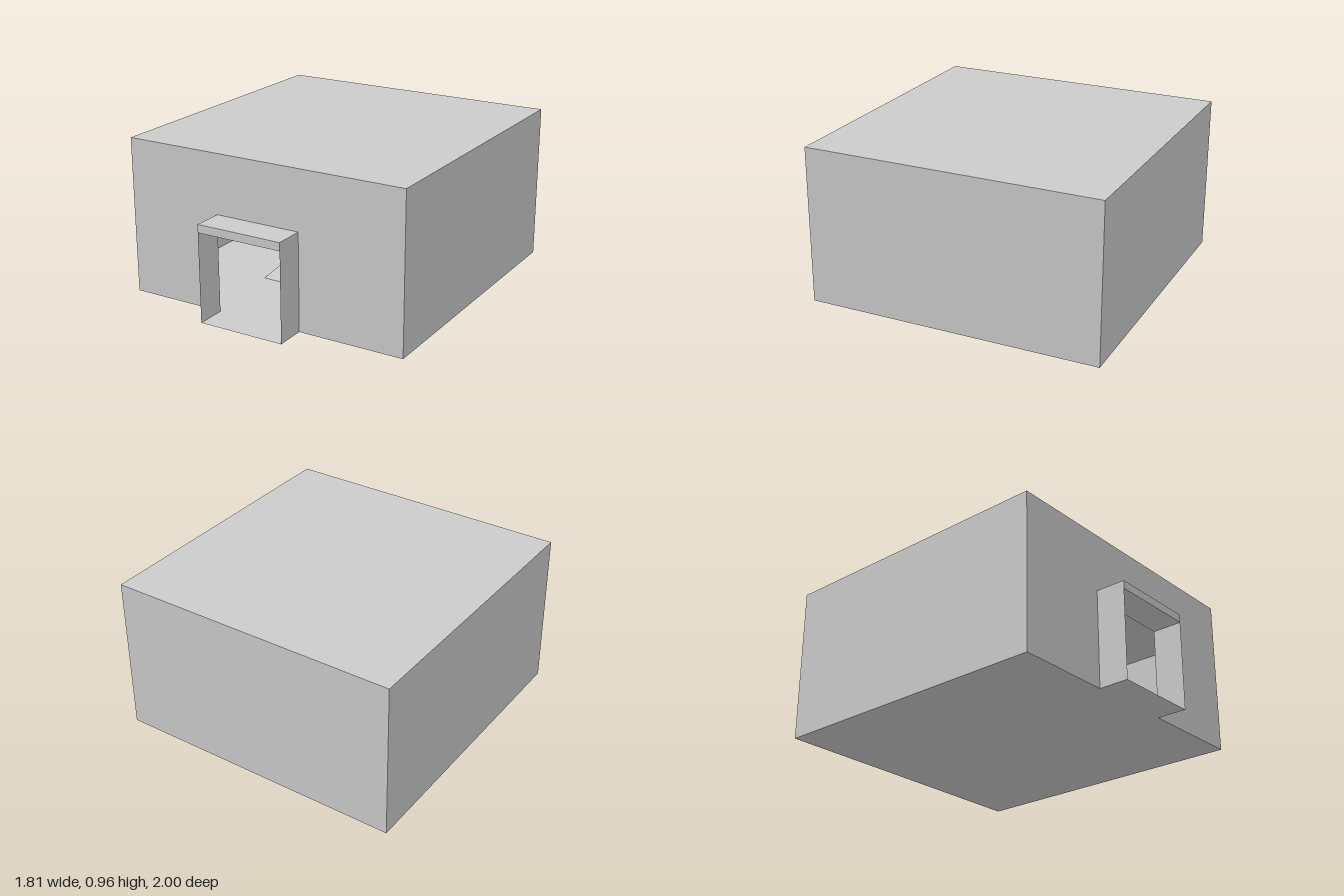
import * as THREE from 'three';

const W = 0.905;               // half width of the building
const BACK = -1, FRONT = 0.815, PORCH = 1;
const WALL = 0.775, TOP = 0.965; // wall height, roof top
const DL = -0.3, DR = 0.245, DH = 0.55, PH = 0.6; // doorway and porch

export function createModel() {
  const model = new THREE.Group();
  const mat = new THREE.MeshStandardMaterial({ color: 0xcccccc, flatShading: true, side: THREE.DoubleSide });
  const midZ = (BACK + FRONT) / 2, depth = FRONT - BACK;

  const add = (name, geometry, x, y, z) => {
    const mesh = new THREE.Mesh(geometry, mat);
    mesh.name = name;
    mesh.position.set(x, y, z);
    model.add(mesh);
    return mesh;
  };
  // Thin upright side wall, normal along x (dir = +1 or -1)
  const sideWall = (name, x, dir, h, z0, z1) => {
    add(name, new THREE.PlaneGeometry(z1 - z0, h), x, h / 2, (z0 + z1) / 2).rotation.y = dir * Math.PI / 2;
  };
  // Thin floor sheet
  const floor = (name, x0, x1, z0, z1) => {
    add(name, new THREE.PlaneGeometry(x1 - x0, z1 - z0), (x0 + x1) / 2, 0, (z0 + z1) / 2).rotation.x = -Math.PI / 2;
  };

  // Hollow room: front wall cut around the doorway
  const front = new THREE.Shape([
    [-W, 0], [DL, 0], [DL, DH], [DR, DH], [DR, 0], [W, 0], [W, WALL], [-W, WALL],
  ].map(([x, y]) => new THREE.Vector2(x, y)));
  add('frontWall', new THREE.ShapeGeometry(front), 0, 0, FRONT);
  add('backWall', new THREE.PlaneGeometry(2 * W, WALL), 0, WALL / 2, BACK).rotation.y = Math.PI;
  sideWall('leftWall', W, 1, WALL, BACK, FRONT);
  sideWall('rightWall', -W, -1, WALL, BACK, FRONT);
  floor('floor', -W, W, BACK, FRONT);

  // Thick flat roof, flush with the walls
  add('roof', new THREE.BoxGeometry(2 * W, TOP - WALL, depth), 0, (TOP + WALL) / 2, midZ);

  // Entrance porch
  sideWall('porchLeftWall', DR, 1, DH, FRONT, PORCH);
  sideWall('porchRightWall', DL, -1, DH, FRONT, PORCH);
  floor('porchFloor', DL, DR, FRONT, PORCH);
  add('porchRoof', new THREE.BoxGeometry(DR - DL, PH - DH, PORCH - FRONT),
    (DL + DR) / 2, (PH + DH) / 2, (FRONT + PORCH) / 2);

  // Square plinth with sloped sides in the middle of the room
  const plinth = new THREE.CylinderGeometry(0.25 * Math.SQRT2, 0.36 * Math.SQRT2, 0.12, 4);
  plinth.rotateY(Math.PI / 4);
  add('plinth', plinth, 0, 0.06, midZ);

  return model;
}
